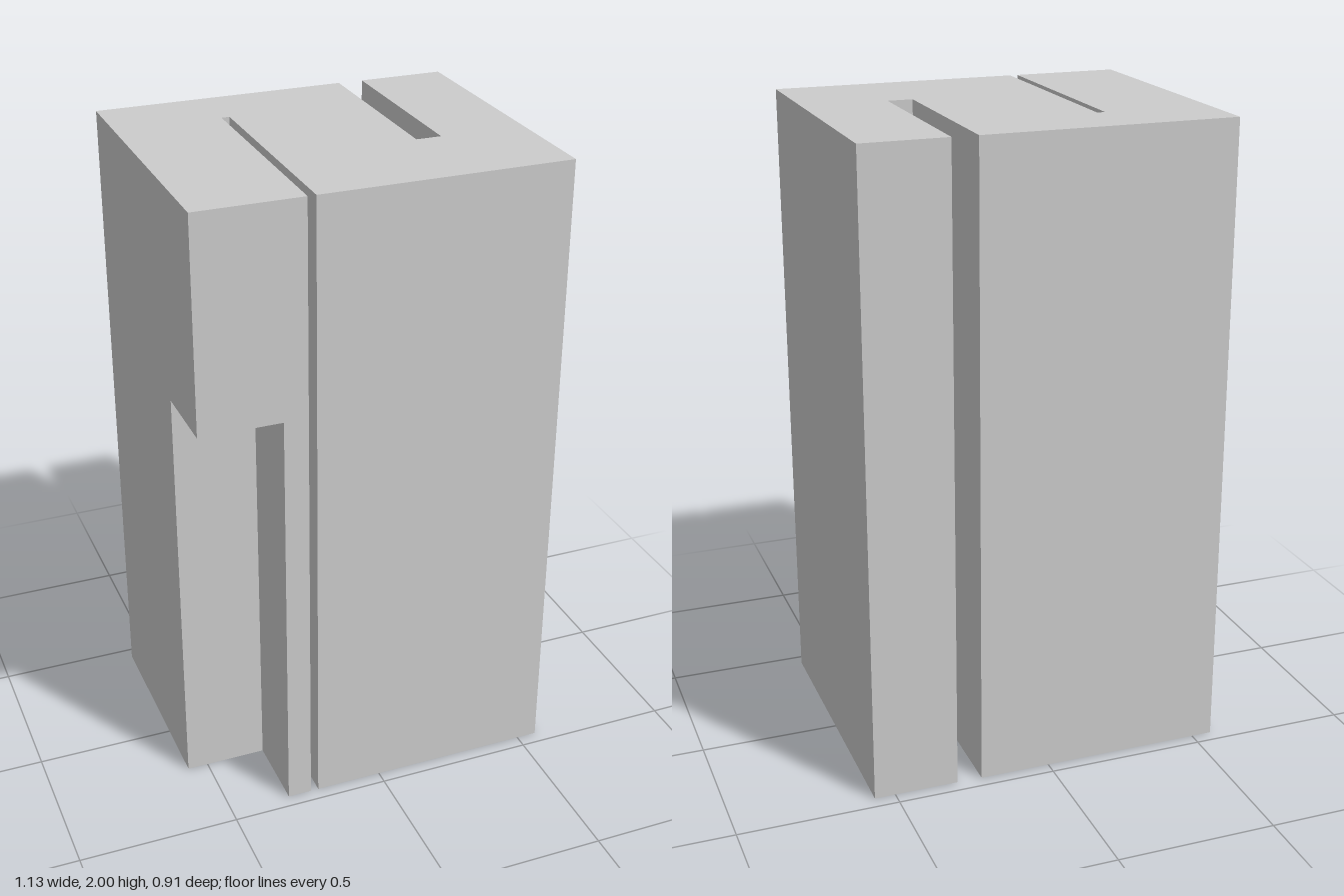
import * as THREE from 'three';
import { mergeGeometries } from 'three/addons/utils/BufferGeometryUtils.js';

const HEIGHT = 2, LEDGE = 1.34;

// Plan outline as [x, z], shared by both tiers, with two slots open to front and back
const plan = [
  [-0.31, 0.457],
  [-0.235, 0.457], [-0.235, -0.257], [-0.21, -0.257], [-0.21, 0.457], // narrow front slot
  [0.565, 0.457], [0.565, -0.456],
  [0.30, -0.456], [0.30, 0.138], [0.222, 0.138], [0.222, -0.458], // wide back slot
  [-0.565, -0.458], [-0.565, 0.21],
];
const upperPlan = [...plan, [-0.565, 0.457]]; // full corner
const lowerPlan = [...plan, [-0.31, 0.21]]; // corner cut away

// Vertical faces along an outline between two heights
function walls(outline, y0, y1) {
  return outline.map(([ax, az], i) => {
    const [bx, bz] = outline[(i + 1) % outline.length];
    const g = new THREE.PlaneGeometry(Math.hypot(bx - ax, bz - az), y1 - y0);
    g.rotateY(-Math.atan2(bz - az, bx - ax));
    return g.translate((ax + bx) / 2, (y0 + y1) / 2, (az + bz) / 2);
  });
}

// Horizontal face filling an outline, facing up (1) or down (-1)
function cap(outline, y, facing) {
  const shape = new THREE.Shape(outline.map(([x, z]) => new THREE.Vector2(x, -facing * z)));
  return new THREE.ShapeGeometry(shape).rotateX(-facing * Math.PI / 2).translate(0, y, 0);
}

export function createModel() {
  const group = new THREE.Group();
  group.name = 'slottedBlock';
  const material = new THREE.MeshStandardMaterial({ color: 0xcccccc, flatShading: true });
  const overhang = [[-0.565, 0.21], [-0.31, 0.21], [-0.31, 0.457], [-0.565, 0.457]];

  const parts = {
    lowerBlock: [...walls(lowerPlan, 0, LEDGE), cap(lowerPlan, 0, -1)],
    upperBlock: [...walls(upperPlan, LEDGE, HEIGHT), cap(upperPlan, HEIGHT, 1), cap(overhang, LEDGE, -1)],
  };
  for (const [name, faces] of Object.entries(parts)) {
    const mesh = new THREE.Mesh(mergeGeometries(faces), material);
    mesh.name = name;
    group.add(mesh);
  }
  return group;
}
